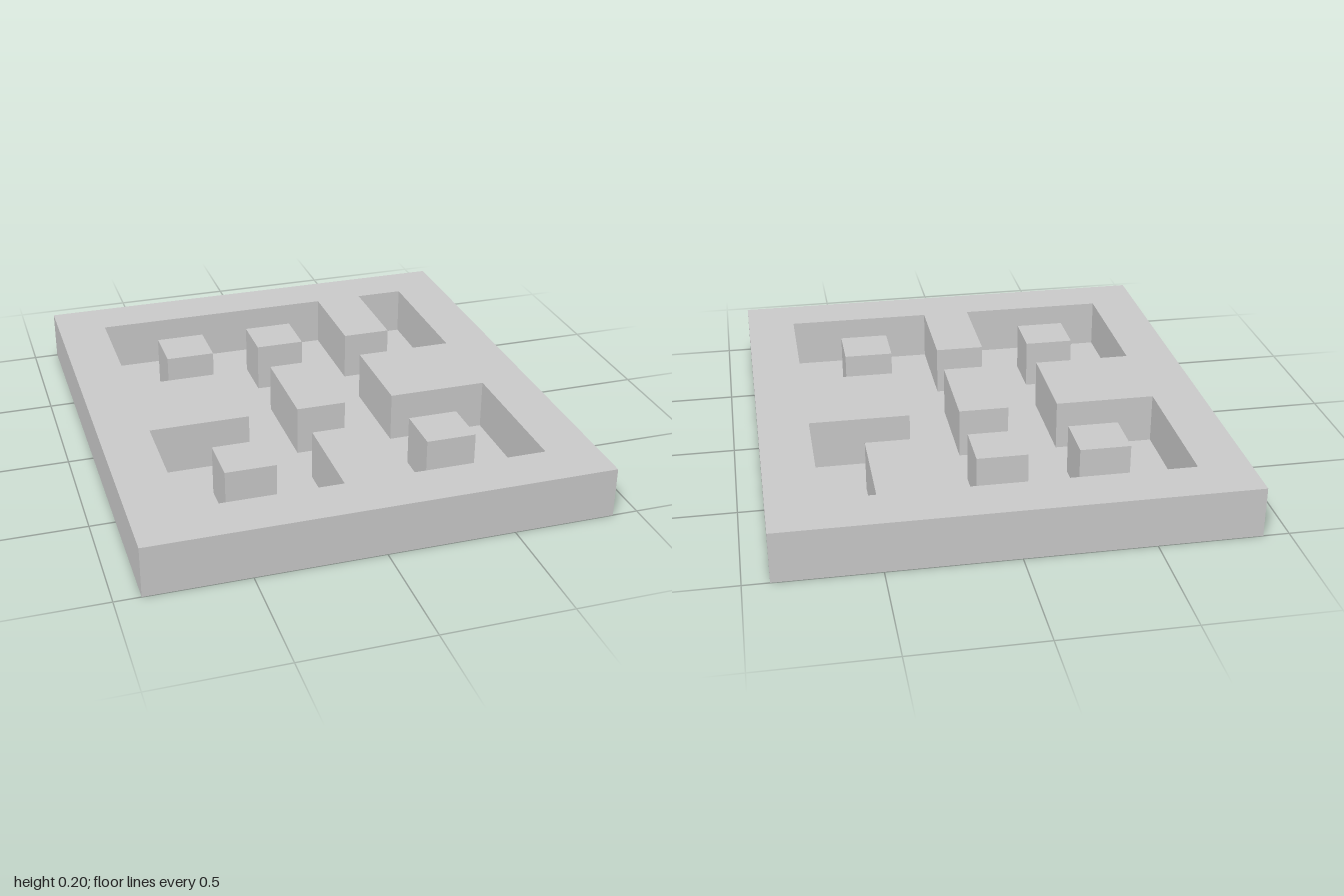
import * as THREE from 'three';

const H = 0.2;
const material = new THREE.MeshStandardMaterial({ color: 0xcccccc, side: THREE.DoubleSide, flatShading: true });

// Outlines are lists of [x, z]; solids run counter-clockwise seen from above.
const rect = (x0, x1, z0, z1) => [[x0, z1], [x1, z1], [x1, z0], [x0, z0]];

const outer = rect(-0.9, 0.9, -1, 1);

// The sunken corridor runs clockwise, so its walls face inwards.
const pit = [
  [-0.7, -0.8], [0.3, -0.8], [0.3, -0.4], [0.5, -0.4], [0.5, -0.8],
  [0.7, -0.8], [0.7, -0.2], [0.3, -0.2], [0.3, 0.2], [0.7, 0.2],
  [0.7, 0.8], [0.1, 0.8], [0.1, 0.4], [-0.1, 0.4], [-0.1, 0.8],
  [-0.7, 0.8], [-0.7, 0.2], [-0.3, 0.2], [-0.3, -0.2], [-0.7, -0.2],
];

const islands = [
  rect(-0.5, -0.3, -0.6, -0.4),
  rect(-0.1, 0.1, -0.6, -0.4),
  rect(-0.1, 0.1, -0.2, 0.2),
  rect(-0.5, -0.3, 0.4, 0.6),
  rect(0.3, 0.5, 0.4, 0.6),
];

const toPoints = (loop) => loop.map(([x, z]) => new THREE.Vector2(x, -z));

// Flat horizontal face at height y, with optional holes
function flatFace(loop, y, holes = []) {
  const shape = new THREE.Shape(toPoints(loop));
  shape.holes = holes.map((hole) => new THREE.Path(toPoints(hole)));
  return new THREE.ShapeGeometry(shape).rotateX(-Math.PI / 2).translate(0, y, 0);
}

// Upright walls along a closed outline, open above and below
function walls(loop) {
  const positions = [];
  loop.forEach(([ax, az], i) => {
    const [bx, bz] = loop[(i + 1) % loop.length];
    positions.push(ax, 0, az, bx, 0, bz, bx, H, bz);
    positions.push(ax, 0, az, bx, H, bz, ax, H, az);
  });
  const geometry = new THREE.BufferGeometry();
  geometry.setAttribute('position', new THREE.Float32BufferAttribute(positions, 3));
  geometry.computeVertexNormals();
  return geometry;
}

export function createModel() {
  const model = new THREE.Group();
  model.name = 'mazeTile';
  const add = (name, geometry, parent = model) => {
    const mesh = new THREE.Mesh(geometry, material);
    mesh.name = name;
    parent.add(mesh);
  };

  // Hollow frame, open underneath
  add('outerWalls', walls(outer));
  add('frameTop', flatFace(outer, H, [pit]));

  // Sunken corridor
  add('corridorWalls', walls(pit));
  add('corridorFloor', flatFace(pit, 0, islands));

  // Free-standing hollow blocks
  islands.forEach((loop, i) => {
    const block = new THREE.Group();
    block.name = `block${i + 1}`;
    add('blockWalls', walls(loop), block);
    add('blockTop', flatFace(loop, H), block);
    model.add(block);
  });

  return model;
}
